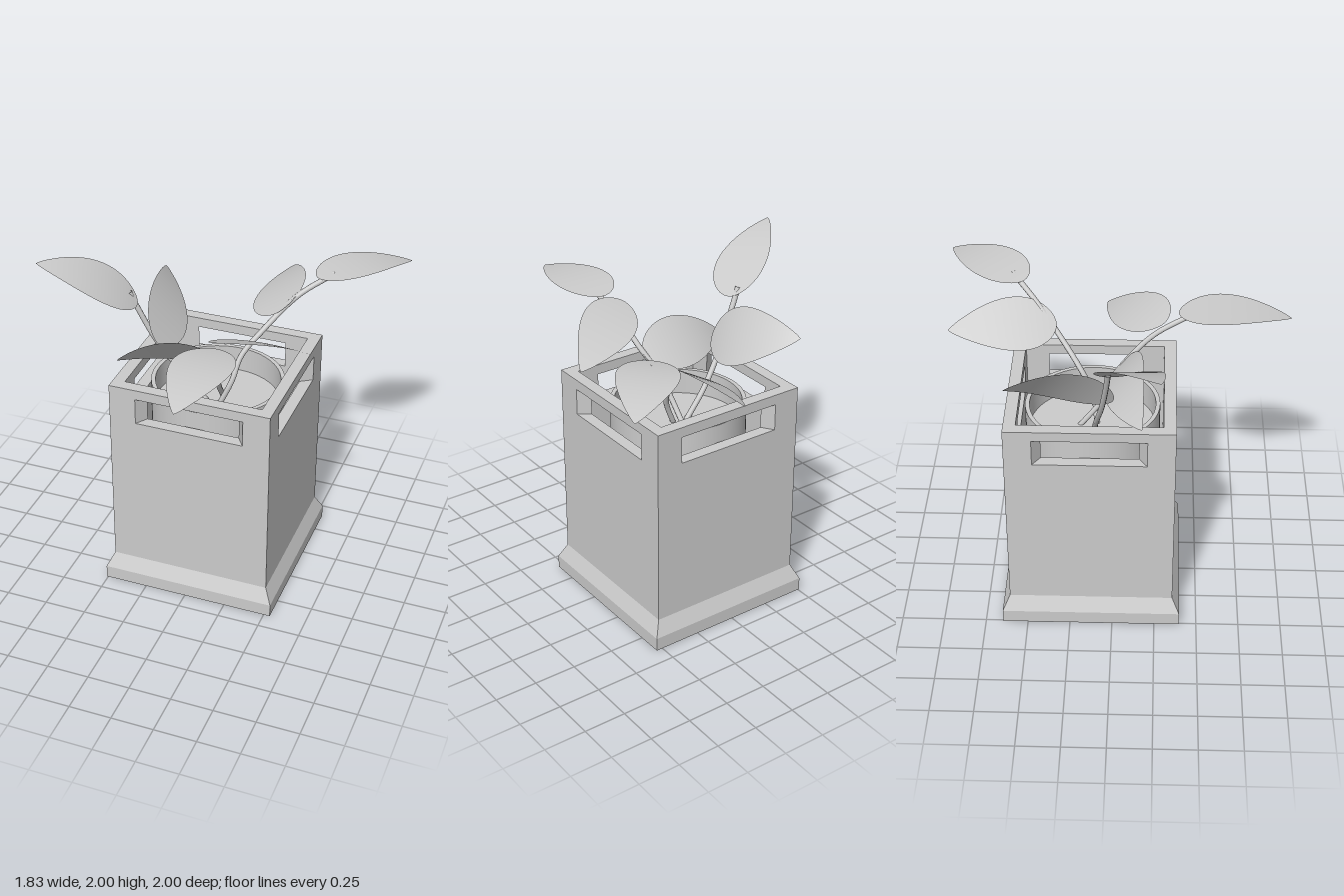
import * as THREE from 'three';

const grey = new THREE.MeshStandardMaterial({ color: 0xcccccc });
const thin = new THREE.MeshStandardMaterial({ color: 0xcccccc, side: THREE.DoubleSide });
const V = (a) => new THREE.Vector3(...a);

function add(parent, name, geometry, material = grey) {
  const mesh = new THREE.Mesh(geometry, material);
  mesh.name = name;
  parent.add(mesh);
  return mesh;
}

// Planter dimensions
const OUT = 0.48, INN = 0.41, FOOT = 0.523, TOP = 1.36, LEDGE = 0.17;

// One mitred wall with a handle slot that narrows inwards
function wallGeometry() {
  const s = new THREE.Shape();
  s.moveTo(-OUT, LEDGE).lineTo(OUT, LEDGE).lineTo(OUT, TOP).lineTo(-OUT, TOP).closePath();
  const slot = new THREE.Path();
  slot.moveTo(-0.322, 1.14).lineTo(-0.322, 1.3).lineTo(0.322, 1.3).lineTo(0.322, 1.14).closePath();
  s.holes.push(slot);
  const g = new THREE.ExtrudeGeometry(s, { depth: OUT - INN, bevelEnabled: false });
  g.translate(0, 0, INN);
  const p = g.attributes.position;
  for (let i = 0; i < p.count; i++) p.setX(i, (p.getX(i) * p.getZ(i)) / OUT);
  g.computeVertexNormals();
  return g;
}

// Square foot with a sloped shoulder, as a four-sided lathe
function footGeometry() {
  const r = Math.SQRT2;
  const pts = [[0, 0], [FOOT * r, 0], [FOOT * r, 0.08], [OUT * r, LEDGE], [0, LEDGE]];
  const g = new THREE.LatheGeometry(pts.map((q) => new THREE.Vector2(...q)), 4, Math.PI / 4).toNonIndexed();
  g.computeVertexNormals();
  return g;
}

// Teardrop blade from base to tip, arched along its length
function leafGeometry({ base, tip, side, width, bow }) {
  const a = V(base), b = V(tip);
  const axis = b.clone().sub(a).normalize();
  const across = V(side).addScaledVector(axis, -V(side).dot(axis)).normalize();
  const up = across.clone().cross(axis);
  if (up.y < 0) up.negate();
  const g = new THREE.PlaneGeometry(2, 1, 4, 24);
  const p = g.attributes.position, v = new THREE.Vector3();
  for (let i = 0; i < p.count; i++) {
    const u = p.getX(i);
    const k = p.getY(i) + 0.5;
    const t = 0.5 - 0.5 * Math.cos(Math.PI * k);
    const w = width * Math.pow(Math.max(0, Math.sin(Math.PI * Math.pow(t, 0.68))), 0.8);
    v.lerpVectors(a, b, t).addScaledVector(up, 4 * t * (1 - t) * bow).addScaledVector(across, u * w);
    p.setXYZ(i, v.x, v.y, v.z);
  }
  g.computeVertexNormals();
  return g;
}

const LEAVES = [
  { name: 'leafRightHigh', base: [-0.43, 1.71, -0.01], tip: [-0.92, 2.0, 0.26], side: [0, 0, 1], width: 0.17, bow: 0.045 },
  { name: 'leafBack', base: [0.28, 1.6, -0.34], tip: [0.195, 1.596, -0.96], side: [0.15, 0.09, 0], width: 0.175, bow: 0.035 },
  { name: 'leafFront', base: [0.19, 1.74, 0.36], tip: [0.19, 1.715, 1.0], side: [1, 0, 0], width: 0.17, bow: 0.04 },
  { name: 'leafLeft', base: [0.11, 1.72, 0.28], tip: [0.62, 1.55, -0.055], side: [0.335, 0.29, 0.51], width: 0.155, bow: 0.03 },
  { name: 'leafLowFront', base: [0.125, 1.47, 0.06], tip: [-0.495, 1.41, 0.165], side: [0, 0.12, 0.11], width: 0.16, bow: 0.06 },
  { name: 'leafBackLeft', base: [0.47, 1.77, -0.54], tip: [0.91, 1.74, -1.0], side: [0.7, 0.06, 0.7], width: 0.165, bow: 0.045 },
  { name: 'leafRightLow', base: [-0.31, 1.47, 0], tip: [-0.485, 1.65, -0.585], side: [-0.1, 0.15, 0], width: 0.175, bow: 0.06 },
];

const STEMS = [
  [[-0.05, 1.07, -0.115], [-0.19, 1.235, -0.1], [-0.336, 1.446, -0.06], [-0.44, 1.66, -0.03], [-0.485, 1.76, -0.02]],
  [[0.02, 1.07, -0.2], [0.035, 1.235, -0.075], [0.07, 1.36, -0.02], [0.125, 1.5, 0.1], [0.155, 1.62, 0.23], [0.19, 1.735, 0.445]],
  [[0.03, 1.07, -0.1], [0.1, 1.235, -0.125], [0.13, 1.37, -0.19], [0.22, 1.5, -0.29], [0.38, 1.68, -0.46], [0.55, 1.78, -0.61]],
];

export function createModel() {
  const model = new THREE.Group();
  model.name = 'pottedPlant';

  // Square planter
  const planter = new THREE.Group();
  planter.name = 'planter';
  planter.position.set(0.015, 0, -0.125);
  model.add(planter);
  add(planter, 'foot', footGeometry());
  const wall = wallGeometry();
  ['frontWall', 'leftWall', 'backWall', 'rightWall'].forEach((name, i) => {
    add(planter, name, wall).rotation.y = (i * Math.PI) / 2;
  });

  // Round inner pot: sharp rim made from separate smooth bands
  const pot = new THREE.Group();
  pot.name = 'innerPot';
  planter.add(pot);
  const bands = {
    potOutside: [[0.39, LEDGE], [0.39, 1.235]],
    potRim: [[0.39, 1.235], [0.365, 1.235]],
    potInside: [[0.365, 1.235], [0.365, 1.08]],
    soil: [[0.365, 1.08], [0, 1.08]],
  };
  for (const [name, pts] of Object.entries(bands)) {
    add(pot, name, new THREE.LatheGeometry(pts.map((q) => new THREE.Vector2(...q)), 48));
  }

  // Stems and leaves
  const plant = new THREE.Group();
  plant.name = 'plant';
  model.add(plant);
  STEMS.forEach((pts, i) => {
    const curve = new THREE.CatmullRomCurve3(pts.map(V));
    add(plant, `stem${i + 1}`, new THREE.TubeGeometry(curve, 24, 0.016, 8), thin);
  });
  LEAVES.forEach((leaf) => add(plant, leaf.name, leafGeometry(leaf), thin));

  return model;
}
